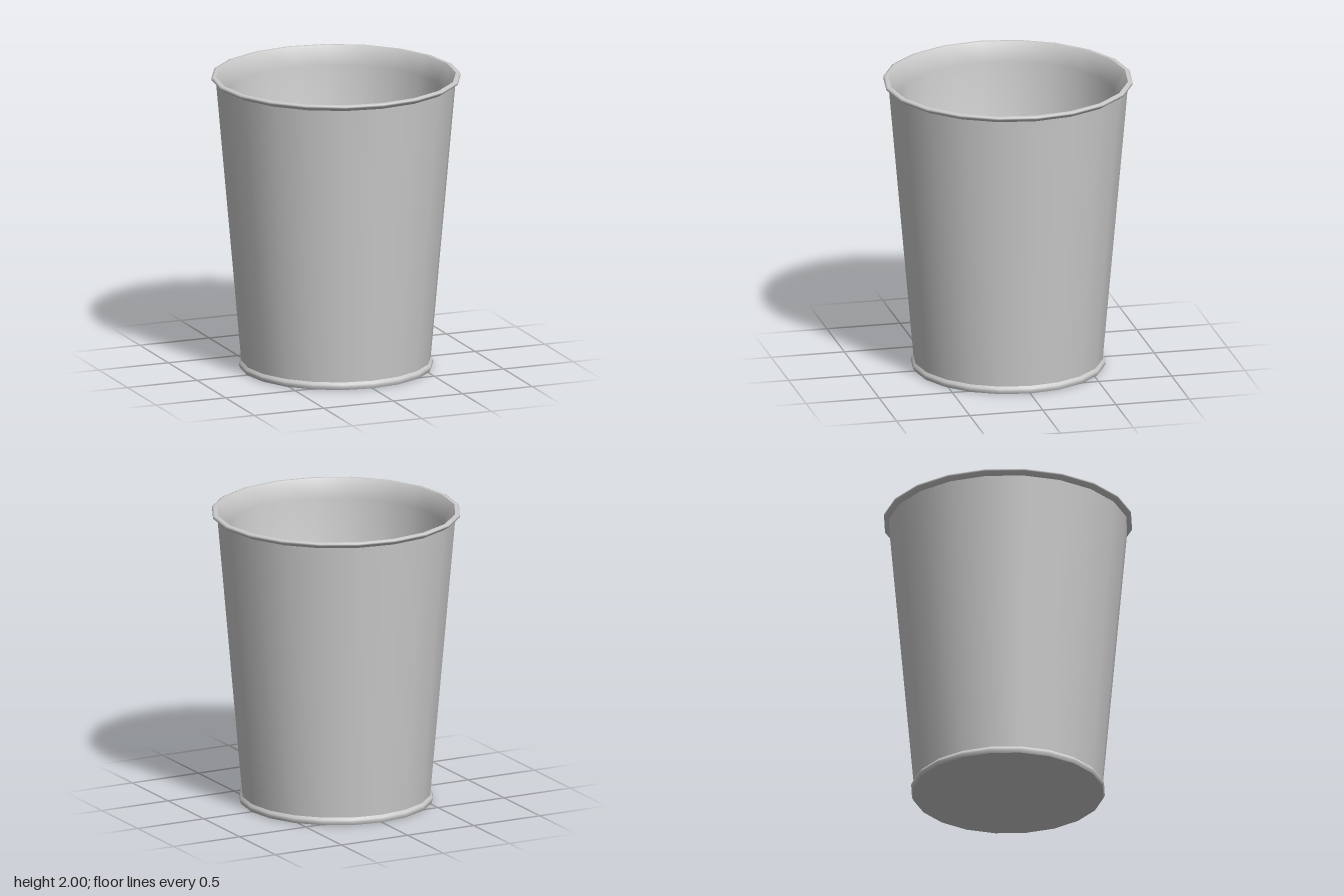
import * as THREE from 'three';

const SIDES = 20;

export function createModel() {
  const cup = new THREE.Group();
  cup.name = 'cup';
  const material = new THREE.MeshStandardMaterial({ color: 0xcccccc });

  // Turns a profile of [radius, height] pairs; outer skins run upwards, inner skins downwards
  const turned = (name, profile) => {
    const points = profile.map(([r, y]) => new THREE.Vector2(r, y));
    const mesh = new THREE.Mesh(new THREE.LatheGeometry(points, SIDES), material);
    mesh.name = name;
    cup.add(mesh);
  };

  // Flat underside
  turned('base', [[0, 0], [0.64, 0]]);

  // Small bead around the foot
  turned('footBead', [[0.64, 0], [0.65, 0.02], [0.645, 0.035], [0.632, 0.05]]);

  // Tapered outer wall
  turned('outerWall', [[0.632, 0.05], [0.8, 1.96]]);

  // Flared lip
  turned('rim', [[0.8, 1.96], [0.832, 1.982], [0.832, 1.995], [0.82, 2], [0.8, 2]]);

  // Sloped inner lip, inner wall and floor in one smooth skin
  turned('interior', [[0.8, 2], [0.722, 1.88], [0.57, 0.08], [0, 0.08]]);

  return cup;
}
